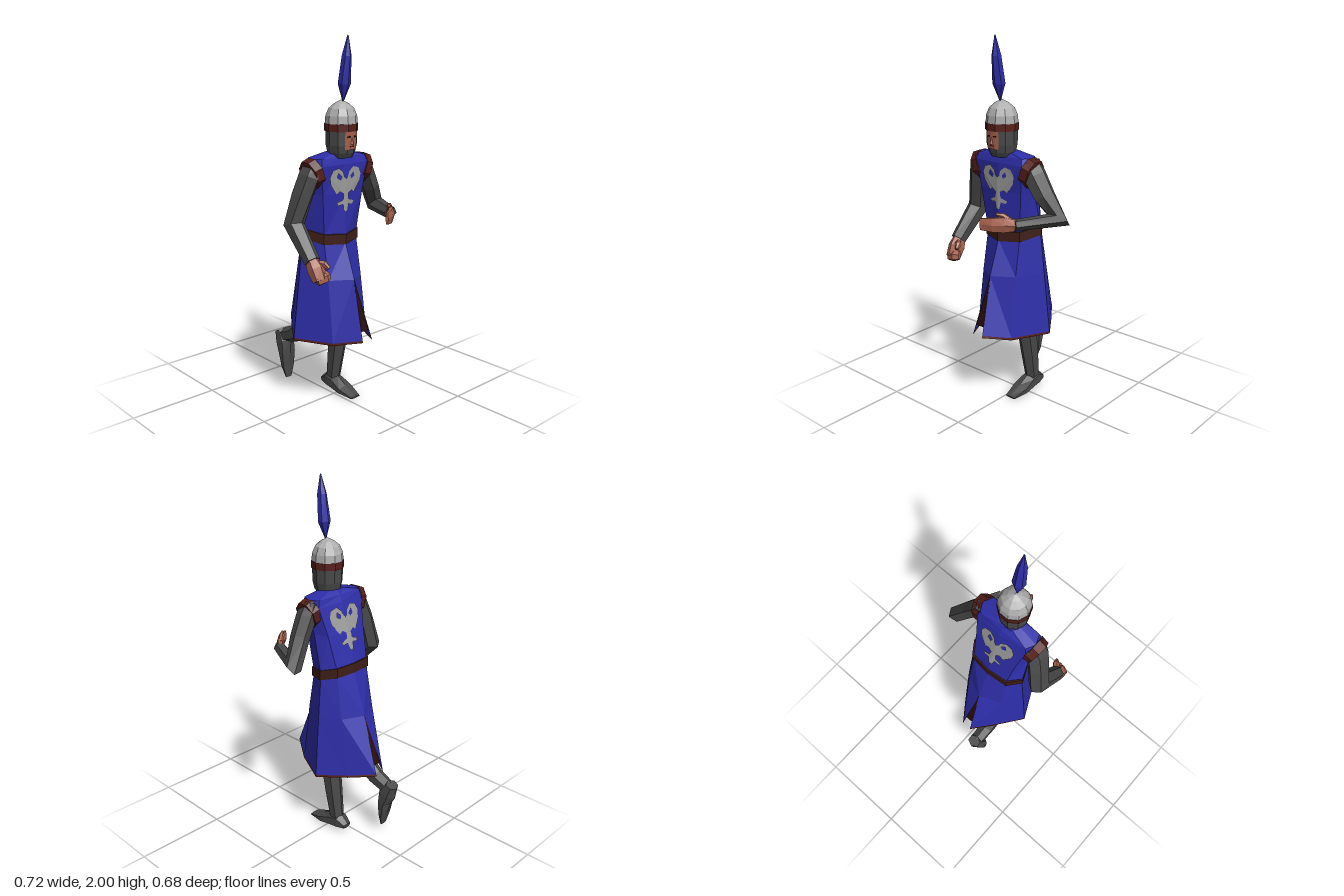
import * as THREE from 'three';

const mat = (name, color) => {
  const m = new THREE.MeshStandardMaterial({ color, flatShading: true, side: THREE.DoubleSide });
  m.name = name;
  return m;
};
const V = (x, y, z) => new THREE.Vector3(x, y, z);
const CZ = 0.035; // body centre line

// Skin a list of rings (arrays of Vector3); closed rings get end caps
function loft(rings, closed = true) {
  const n = rings[0].length, pos = [], idx = [];
  rings.forEach(r => r.forEach(p => pos.push(p.x, p.y, p.z)));
  for (let i = 0; i < rings.length - 1; i++)
    for (let j = 0; j < (closed ? n : n - 1); j++) {
      const a = i * n + j, b = i * n + (j + 1) % n;
      idx.push(a, b, b + n, a, b + n, a + n);
    }
  if (closed) {
    const e = (rings.length - 1) * n;
    for (let j = 1; j < n - 1; j++) idx.push(0, j + 1, j, e, e + j, e + j + 1);
  }
  const g = new THREE.BufferGeometry();
  g.setAttribute('position', new THREE.Float32BufferAttribute(pos, 3));
  g.setIndex(idx);
  g.computeVertexNormals();
  return g;
}

// Limb along stations [x, y, z, half size along ref, half size across], mitred at bends
function limb(pts, ref = V(0, 0, 1), sides = 6) {
  const c = pts.map(p => V(p[0], p[1], p[2]));
  const d = c.slice(1).map((p, i) => p.clone().sub(c[i]).normalize());
  return loft(pts.map((p, i) => {
    const d0 = d[Math.max(i - 1, 0)], d1 = d[Math.min(i, d.length - 1)];
    const t = d0.clone().add(d1).normalize();
    const s = ref.clone().addScaledVector(t, -ref.dot(t)).normalize();
    const n = t.clone().cross(s), miter = 1 / Math.max(t.dot(d0), 0.75);
    return Array.from({ length: sides }, (_, k) => {
      const a = (k + 0.5) / sides * Math.PI * 2;
      return c[i].clone().addScaledVector(s, p[3] * Math.cos(a)).addScaledVector(n, p[4] * miter * Math.sin(a));
    });
  }));
}

// Eight-point body ring: front, front corner, side, back corner, back, then mirrored
function bodyRing(y, xf, xc, zc, xs, zs, xb, zb, xm, slope = 0, grow = 0) {
  const half = [[xf + grow, 0], [xc + grow, zc + grow], [xs, zs + grow], [xb - grow, zb + grow], [xm - grow, 0]];
  const P = ([x, z], s) => V(x, y + slope * x, CZ + s * z);
  return [...half.map(h => P(h, -1)), ...half.slice(1, 4).reverse().map(h => P(h, 1))];
}

export function createModel() {
  const model = new THREE.Group();
  model.name = 'soldier';
  const blue = mat('blue cloth', 0x2e2eaa), mail = mat('dark mail', 0x494949), steel = mat('steel', 0xadadad);
  const skin = mat('skin', 0xa8624e), trim = mat('red brown trim', 0x571e19), leather = mat('belt leather', 0x3f1e18);
  const lining = mat('dark lining', 0x260b08), crest = mat('crest grey', 0x9c9c9c);
  const add = (name, geo, m) => {
    const mesh = new THREE.Mesh(geo, m);
    mesh.name = name;
    model.add(mesh);
    return mesh;
  };

  // Tunic body and belt
  const waist = (y, grow) => bodyRing(y, 0.13, 0.09, 0.115, -0.02, 0.17, -0.09, 0.115, -0.105, -0.22, grow);
  add('tunic', loft([
    waist(0.99, 0),
    bodyRing(1.2, 0.13, 0.11, 0.14, 0.03, 0.165, -0.042, 0.135, -0.057),
    bodyRing(1.35, 0.13, 0.125, 0.16, 0.06, 0.185, 0, 0.16, -0.012),
    bodyRing(1.387, 0.122, 0.115, 0.15, 0.06, 0.175, 0.008, 0.15, 0.004),
    bodyRing(1.412, 0.11, 0.1, 0.05, 0.07, 0.06, 0.03, 0.05, 0.02),
  ]), blue);
  add('belt', loft([waist(0.952, 0.006), waist(1.006, 0.006)]), leather);

  // Skirt: two open halves parted by a slit in front and behind
  for (const s of [1, -1]) {
    const row = pts => pts.map(([x, y, z]) => V(x, y, CZ + s * z));
    const top = row([[0.13, 0.93, 0], [0.09, 0.94, 0.115], [-0.02, 0.96, 0.17], [-0.09, 0.975, 0.115], [-0.105, 0.98, 0]]);
    const mid = row([[0.2, 0.74, 0], [0.125, 0.74, 0.117], [-0.025, 0.74, 0.193], [-0.13, 0.74, 0.123], [-0.185, 0.74, 0]]);
    const hem = row([[0.305, 0.422, 0.034], [0.17, 0.388, 0.125], [-0.035, 0.388, 0.228], [-0.18, 0.4, 0.125], [-0.308, 0.42, 0.028]]);
    const edge = hem.map((p, i) => p.clone().lerp(mid[i], 0.035));
    const side = s > 0 ? 'left' : 'right';
    add(side + 'Skirt', loft([top, mid, edge], false), blue);
    add(side + 'Hem', loft([edge, hem], false), trim);
  }
  // Dark gussets set into the slits
  for (const [name, x0, x1] of [['frontGusset', 0.199, 0.275], ['backGusset', -0.184, -0.275]])
    add(name, loft([
      [V(x0, 0.745, CZ - 0.001), V(x0, 0.745, CZ + 0.001)],
      [V(x1, 0.47, CZ - 0.034), V(x1, 0.47, CZ + 0.034)],
    ], false), lining);

  // Winged crest on chest and back, laid on the cloth as thin mirrored halves
  const wing = new THREE.Shape([[0, 1.275], [0.012, 1.285], [0.02, 1.31], [0.05, 1.335], [0.09, 1.325], [0.108, 1.29],
    [0.1, 1.25], [0.075, 1.215], [0.06, 1.195], [0.04, 1.21], [0.015, 1.195], [0.02, 1.165], [0.06, 1.15],
    [0.05, 1.135], [0.02, 1.14], [0.012, 1.105], [0, 1.1]].map(p => new THREE.Vector2(...p)));
  wing.holes.push(new THREE.Path([[0.03, 1.288], [0.052, 1.308], [0.06, 1.285], [0.038, 1.272]].map(p => new THREE.Vector2(...p))));
  for (const front of [true, false])
    for (const s of [1, -1]) {
      const g = new THREE.ShapeGeometry(wing), p = g.attributes.position;
      for (let i = 0; i < p.count; i++) {
        const u = p.getX(i), y = p.getY(i);
        const k = front ? (y - 0.98) / 0.37 : (y - 1.02) / 0.33;
        const mid = front ? 0.13 : -0.105 + 0.093 * k, corner = front ? 0.09 + 0.035 * k : -0.09 + 0.09 * k;
        const x = mid + (corner - mid) * u / (0.115 + 0.045 * k);
        p.setXYZ(i, x + (front ? 0.006 : -0.007), y, CZ + s * u);
      }
      g.computeVertexNormals();
      add(front ? 'chestCrest' : 'backCrest', g, crest);
    }

  // Armhole trim
  for (const s of [1, -1])
    add('armholeTrim', limb([[0.062, 1.318, CZ + s * 0.15, 0.074, 0.082], [0.062, 1.303, CZ + s * 0.194, 0.07, 0.08]], V(1, 0, 0), 8), trim);

  // Left-hand side arm, hanging and bent forward
  add('loweredArm', limb([[0.065, 1.365, 0.2, 0.035, 0.06], [0.062, 1.3, 0.225, 0.05, 0.068], [0.04, 1.2, 0.255, 0.05, 0.066],
    [0.015, 1.05, 0.29, 0.052, 0.058], [0.17, 0.885, 0.3, 0.042, 0.043]]), mail);
  add('loweredHand', limb([[0.16, 0.895, 0.3, 0.032, 0.036], [0.19, 0.85, 0.295, 0.045, 0.048], [0.222, 0.795, 0.292, 0.042, 0.036]]), skin);
  add('loweredFingers', limb([[0.215, 0.8, 0.31, 0.034, 0.03], [0.232, 0.812, 0.268, 0.032, 0.022], [0.222, 0.815, 0.242, 0.026, 0.016]], V(-0.5, 0.85, 0)), skin);
  add('loweredThumb', limb([[0.185, 0.875, 0.285, 0.02, 0.02], [0.215, 0.875, 0.258, 0.018, 0.018], [0.238, 0.855, 0.246, 0.01, 0.01]]), skin);

  // Other arm, raised across the front
  const plane = V(-0.4, -0.39, 0.82).normalize();
  add('raisedArm', limb([[0.065, 1.365, -0.125, 0.04, 0.06], [0.06, 1.3, -0.158, 0.052, 0.066], [0.05, 1.2, -0.215, 0.05, 0.06],
    [0.022, 1.08, -0.288, 0.048, 0.05], [0.25, 1.08, -0.18, 0.036, 0.03]], plane), mail);
  add('raisedHand', limb([[0.24, 1.08, -0.185, 0.034, 0.022], [0.285, 1.085, -0.145, 0.045, 0.022],
    [0.325, 1.085, -0.1, 0.042, 0.016], [0.355, 1.085, -0.045, 0.034, 0.008]], V(0, 1, 0)), skin);
  add('raisedThumb', limb([[0.26, 1.105, -0.165, 0.016, 0.016], [0.283, 1.132, -0.135, 0.014, 0.014], [0.305, 1.138, -0.11, 0.008, 0.008]], V(0, 1, 0)), skin);

  // Standing leg and foot
  add('standingLeg', limb([[0.02, 0.85, -0.03, 0.065, 0.075], [0.025, 0.5, -0.045, 0.056, 0.065], [-0.015, 0.36, -0.047, 0.052, 0.06],
    [-0.035, 0.23, -0.048, 0.048, 0.052], [-0.058, 0.08, -0.048, 0.04, 0.042]]), mail);
  add('standingFoot', limb([[-0.135, 0.04, -0.046, 0.03, 0.018], [-0.085, 0.053, -0.046, 0.045, 0.05], [-0.03, 0.045, -0.046, 0.048, 0.046],
    [0.04, 0.026, -0.046, 0.055, 0.026], [0.13, 0.008, -0.046, 0.036, 0.006]]), mail);

  // Trailing leg, bent back at the knee, toe pointing down
  add('trailingLeg', limb([[0.02, 0.85, 0.1, 0.065, 0.075], [0.03, 0.5, 0.11, 0.056, 0.06], [-0.13, 0.39, 0.114, 0.05, 0.056],
    [-0.21, 0.335, 0.115, 0.046, 0.048], [-0.3, 0.3, 0.115, 0.04, 0.042]]), mail);
  add('trailingFoot', limb([[-0.33, 0.328, 0.115, 0.04, 0.035], [-0.3, 0.268, 0.115, 0.05, 0.056], [-0.285, 0.2, 0.115, 0.052, 0.036],
    [-0.279, 0.12, 0.115, 0.045, 0.02], [-0.272, 0.048, 0.115, 0.022, 0.006]]), mail);

  // Head: mail coif, helmet band and dome turned around one axis
  const turned = (name, prof, m) =>
    add(name, new THREE.LatheGeometry(prof.map(p => new THREE.Vector2(...p)), 10), m).position.set(0.095, 0, CZ);
  turned('mailCoif', [[0.058, 1.385], [0.072, 1.41], [0.081, 1.45], [0.083, 1.535]], mail);
  turned('helmetBand', [[0.08, 1.522], [0.088, 1.522], [0.088, 1.56], [0.08, 1.56]], trim);
  turned('helmetDome', [[0.086, 1.555], [0.082, 1.6], [0.066, 1.637], [0.036, 1.662], [0, 1.68]], steel);

  // Face in the coif opening
  const face = new THREE.CylinderGeometry(0.086, 0.08, 0.092, 4, 1, true, Math.PI / 2 - 0.5, 1);
  add('face', face, skin).position.set(0.095, 1.477, CZ);
  const nose = add('nose', new THREE.ConeGeometry(0.011, 0.04, 4), skin);
  nose.position.set(0.178, 1.477, CZ);
  for (const s of [1, -1]) {
    const eye = add('eye', new THREE.BoxGeometry(0.006, 0.008, 0.016), lining);
    eye.position.set(0.176, 1.497, CZ + s * 0.02);
    eye.rotation.y = -s * 0.24;
  }
  add('mouth', new THREE.BoxGeometry(0.006, 0.006, 0.026), trim).position.set(0.176, 1.447, CZ);

  // Plume
  add('plume', limb([[0.108, 1.672, CZ, 0.004, 0.004], [0.117, 1.76, CZ, 0.036, 0.03], [0.134, 1.9, CZ, 0.024, 0.027],
    [0.143, 2.0, CZ, 0.003, 0.003]]), blue);

  return model;
}
